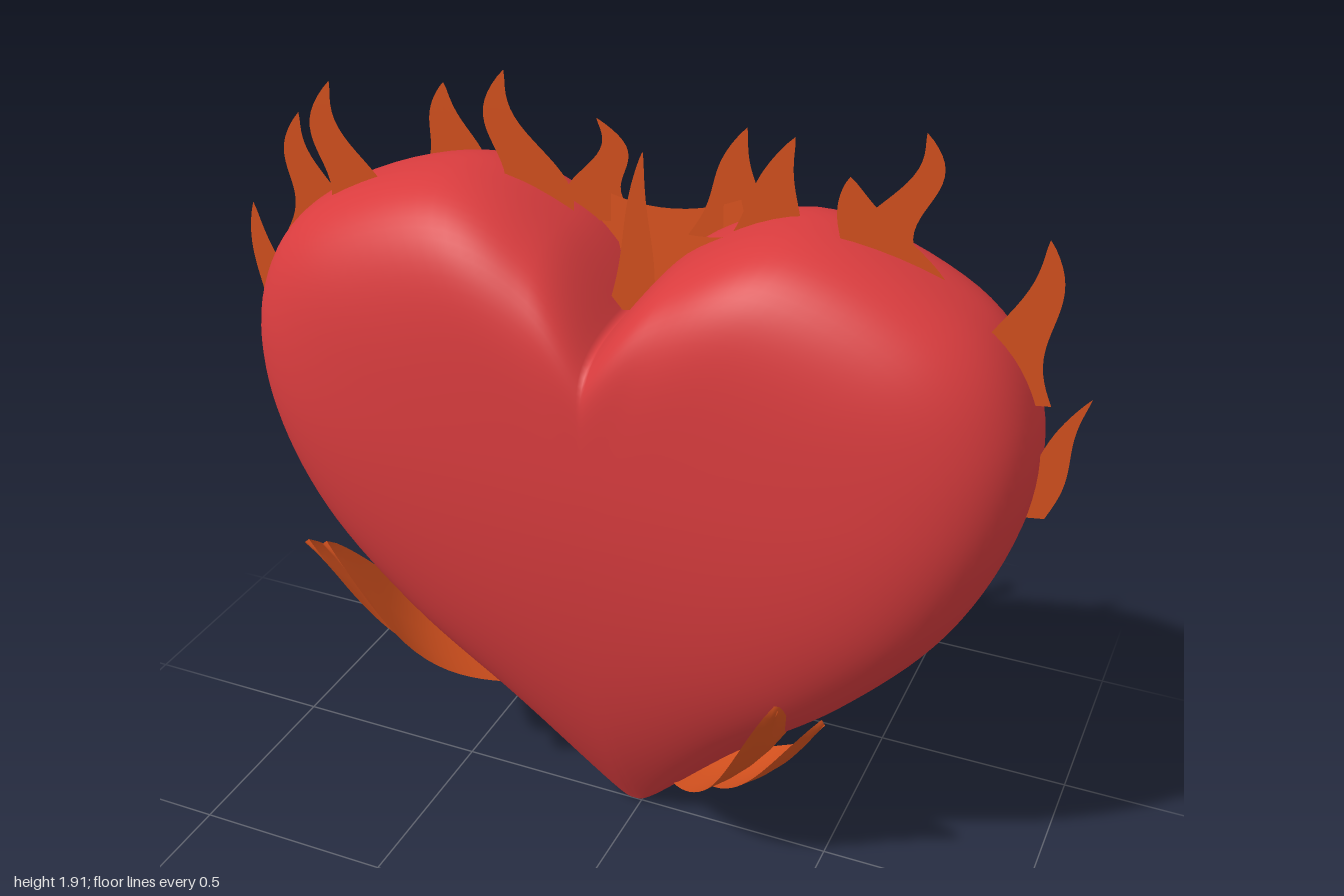
import * as THREE from 'three';
import { mergeVertices } from 'three/addons/utils/BufferGeometryUtils.js';

const heartRed = new THREE.MeshStandardMaterial({ color: 0xd93c3e });
heartRed.name = 'heart red';
const flameOrange = new THREE.MeshStandardMaterial({ color: 0xd9531f, side: THREE.DoubleSide });
flameOrange.name = 'flame orange';

// Smooth surface through a grid of points p(u, v)
function surface(nu, nv, p) {
  const pos = [], idx = [];
  for (let i = 0; i <= nu; i++)
    for (let j = 0; j <= nv; j++) pos.push(...p(i / nu, j / nv));
  for (let i = 0; i < nu; i++)
    for (let j = 0; j < nv; j++) {
      const a = i * (nv + 1) + j, b = a + nv + 1;
      idx.push(a, a + 1, b, b, a + 1, b + 1);
    }
  let g = new THREE.BufferGeometry();
  g.setAttribute('position', new THREE.Float32BufferAttribute(pos, 3));
  g.setIndex(idx);
  g = mergeVertices(g, 1e-5);
  g.computeVertexNormals();
  return g;
}

// Half outline of the heart, from the tip up round one lobe to the cleft
const half = new THREE.SplineCurve([
  [0, 0], [0.06, 0.035], [0.3, 0.28], [0.57, 0.52], [0.8, 0.8], [0.92, 1.1],
  [0.91, 1.36], [0.76, 1.56], [0.42, 1.682], [0.16, 1.59], [0, 1.41],
].map(([x, y]) => new THREE.Vector2(x, y)));

// Half thickness of the heart by height
const thickness = y =>
  0.297 * Math.pow(Math.sin(Math.PI / 2 * THREE.MathUtils.clamp(y / 1.15, 0, 1)), 0.68);

// Rings of the outline shrink to the middle, front and back, with a rounded rim
function heartPoint(u, v) {
  const t = 1 - 2 * v, right = u < 0.5;
  const o = half.getPoint(right ? u * 2 : 2 - u * 2);
  const s = 1 - Math.pow(Math.abs(t), 2.5);
  const x = o.x * s * (right ? 1 : -1);
  const y = 0.95 + (o.y - 0.95) * s;
  const cleft = o.y > 1.3 ? Math.exp(-((o.x / 0.12) ** 2)) : 0;
  const rim = Math.pow(1 - Math.pow(s, 6 + 5 * cleft), 0.4);
  return [x - 0.02, y * (1 - 0.01 * x), Math.sign(t) * thickness(y) * rim];
}

// Tapering tongue of flame with an S-bend, turned slightly about the vertical
function tongue([baseX, baseY, tipX, tipY, width, curl, z]) {
  return surface(20, 4, (u, v) => {
    const x = THREE.MathUtils.lerp(baseX, tipX, u) + curl * Math.sin(2 * Math.PI * u)
      + (v - 0.5) * width * Math.pow(1 - u, 0.8);
    return [x, THREE.MathUtils.lerp(baseY, tipY, u), z - 0.25 * (x - baseX)];
  });
}

// Web of flame that fills the cleft between two tongues
function web(left, right, z) {
  const shape = new THREE.Shape();
  shape.moveTo(0, 1.38);
  shape.lineTo(right, 1.58);
  shape.lineTo(right - 0.02, 1.66);
  shape.quadraticCurveTo((left + right) / 2, 1.57, left + 0.02, 1.65);
  shape.lineTo(left, 1.58);
  return new THREE.ShapeGeometry(shape).translate(0, 0, z);
}

// Leaf-like flame lying along the lower flank, facing out and down
function flankFlame(side, width, points) {
  const curve = new THREE.CatmullRomCurve3(points.map(p => new THREE.Vector3(...p)));
  const out = new THREE.Vector3(side * 0.72, -0.63, 0.25);
  return surface(20, 4, (u, v) => {
    const across = curve.getTangent(u).cross(out).normalize();
    const w = width * Math.pow(Math.max(0, Math.sin(Math.PI * (0.2 + 0.8 * u))), 0.8);
    const k = v * 2 - 1;
    return curve.getPoint(u).addScaledVector(across, k * w)
      .addScaledVector(out, 0.015 * (1 - k * k)).toArray();
  });
}

// Base x, y, tip x, y, width, curl and z of each tongue, from -x to +x
const tongues = [
  [-0.93, 1.12, -1, 1.51, 0.13, 0.01, 0],
  [-0.87, 1.42, -0.885, 1.73, 0.15, 0.02, -0.04],
  [-0.69, 1.5, -0.72, 1.86, 0.17, 0.03, 0.07],
  [-0.51, 1.6, -0.53, 1.83, 0.16, 0.01, -0.1],
  [-0.28, 1.56, -0.33, 1.91, 0.18, 0.03, -0.02],
  [-0.12, 1.56, -0.15, 1.8, 0.16, -0.03, -0.1],
  [-0.01, 1.42, 0.015, 1.79, 0.1, 0.005, 0.04],
  [0.15, 1.56, 0.195, 1.82, 0.16, 0.01, -0.1],
  [0.25, 1.55, 0.33, 1.845, 0.18, 0.01, -0.01],
  [0.53, 1.56, 0.59, 1.87, 0.16, -0.03, -0.08],
  [0.58, 1.54, 0.47, 1.8, 0.24, 0.01, 0],
  [0.83, 1.35, 0.88, 1.72, 0.18, -0.02, 0.01],
  [0.88, 1.08, 1, 1.375, 0.11, 0.01, 0],
];

// Side, half width and spine of each flank flame
const flankFlames = [
  [1, 0.12, [[0.12, 0.11, -0.07], [0.33, 0.33, 0.13], [0.45, 0.65, 0.3]]],
  [1, 0.1, [[0.2, 0.14, -0.05], [0.38, 0.31, 0.09], [0.54, 0.59, 0.23]]],
  [-1, 0.12, [[-0.34, 0.31, -0.07], [-0.55, 0.48, 0.12], [-0.7, 0.79, 0.29]]],
  [-1, 0.1, [[-0.42, 0.33, -0.05], [-0.63, 0.47, 0.08], [-0.8, 0.73, 0.22]]],
];

export function createModel() {
  const group = new THREE.Group();
  const add = (name, geometry, material) => {
    const mesh = new THREE.Mesh(geometry, material);
    mesh.name = name;
    group.add(mesh);
  };
  add('heart', surface(160, 56, heartPoint), heartRed);
  tongues.forEach((t, i) => add('topFlame' + (i + 1), tongue(t), flameOrange));
  add('backCleftFlame', web(-0.21, 0.21, -0.1), flameOrange);
  add('frontCleftFlame', web(-0.05, 0.32, 0.02), flameOrange);
  flankFlames.forEach((f, i) => add('flankFlame' + (i + 1), flankFlame(...f), flameOrange));
  return group;
}
